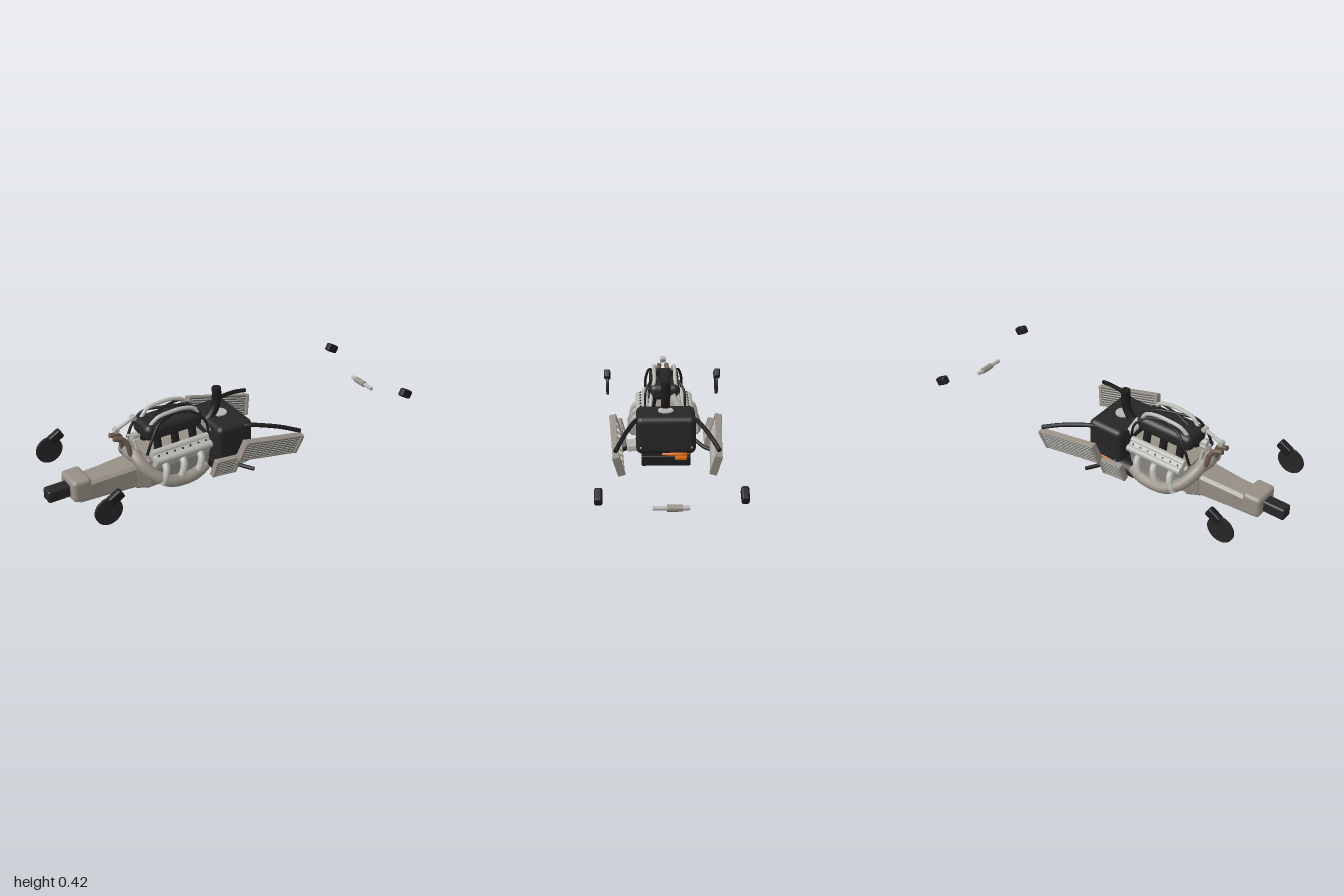
import * as THREE from 'three';
import { RoundedBoxGeometry } from 'three/addons/geometries/RoundedBoxGeometry.js';

const paint = (name, color) => Object.assign(new THREE.MeshStandardMaterial({ color }), { name });

export function createModel() {
  const root = new THREE.Group();
  root.name = 'racingPowertrain';
  const black = paint('black', 0x262626);
  const rubber = paint('rubber', 0x1c1c1c);
  const casting = paint('casting', 0x968f86);
  const alloy = paint('alloy', 0xb4b5b0);
  const core = paint('radiatorCore', 0x5a5853);
  const orange = paint('orange', 0xd8690f);
  const burnt = paint('burntMetal', 0x6b5a4b);

  // Helpers: each adds one named mesh
  const add = (name, geo, mat, parent = root) => {
    const m = new THREE.Mesh(geo, mat);
    m.name = name;
    parent.add(m);
    return m;
  };
  const box = (name, mat, size, pos, r = 0.01, parent = root) => {
    const g = r ? new RoundedBoxGeometry(...size, 3, r) : new THREE.BoxGeometry(...size);
    const m = add(name, g, mat, parent);
    m.position.set(...pos);
    return m;
  };
  const rod = (name, mat, a, b, r, r2 = r, sides = 24) => {
    const p = new THREE.Vector3(...a), q = new THREE.Vector3(...b);
    const d = q.clone().sub(p);
    const m = add(name, new THREE.CylinderGeometry(r2, r, d.length(), sides), mat);
    m.position.copy(p).add(q).multiplyScalar(0.5);
    m.quaternion.setFromUnitVectors(new THREE.Vector3(0, 1, 0), d.normalize());
    return m;
  };
  const pipe = (name, mat, pts, r) => {
    const curve = new THREE.CatmullRomCurve3(pts.map(p => new THREE.Vector3(...p)));
    add(name, new THREE.TubeGeometry(curve, 32, r, 12), mat);
    // Flat caps close both ends
    for (const t of [0, 1]) {
      const c = add(name + 'End', new THREE.CircleGeometry(r, 12), mat);
      const dir = curve.getTangent(t).multiplyScalar(t ? 1 : -1);
      c.position.copy(curve.getPoint(t));
      c.quaternion.setFromUnitVectors(new THREE.Vector3(0, 0, 1), dir);
    }
  };
  // Solid lofted along x; sections are [x, bottom, top, bottom half-width, top half-width]
  const loft = (name, mat, sections) => {
    const pos = [], idx = [];
    for (const [x, y0, y1, w0, w1] of sections) {
      const c = Math.min(0.015, (y1 - y0) * 0.2);
      for (const [y, z] of [[y0, w0 - c], [y0 + c, w0], [y1 - c, w1], [y1, w1 - c],
        [y1, c - w1], [y1 - c, -w1], [y0 + c, -w0], [y0, c - w0]]) pos.push(x, y, z);
    }
    const n = sections.length;
    for (let i = 0; i < n - 1; i++) for (let j = 0; j < 8; j++) {
      const a = i * 8 + j, b = i * 8 + (j + 1) % 8;
      idx.push(a, a + 8, b, b, a + 8, b + 8);
    }
    for (let j = 1; j < 7; j++) {
      idx.push(0, j, j + 1);
      idx.push((n - 1) * 8, (n - 1) * 8 + j + 1, (n - 1) * 8 + j);
    }
    const g = new THREE.BufferGeometry();
    g.setAttribute('position', new THREE.Float32BufferAttribute(pos, 3));
    g.setIndex(idx);
    const flat = g.toNonIndexed();
    flat.computeVertexNormals();
    add(name, flat, mat);
  };

  // Gearbox, rear casing and output
  loft('gearbox', casting, [[-0.845, 0.045, 0.155, 0.055, 0.063], [-0.7, 0.04, 0.158, 0.06, 0.065],
    [-0.54, 0.035, 0.165, 0.07, 0.075]]);
  loft('bellHousing', casting, [[-0.545, 0.03, 0.17, 0.07, 0.08], [-0.48, 0.02, 0.2, 0.09, 0.11]]);
  box('rearCasing', casting, [0.1, 0.115, 0.15], [-0.838, 0.128, 0], 0.02);
  box('rearCrashMount', black, [0.125, 0.065, 0.065], [-0.938, 0.122, 0], 0.012);

  // Engine block and oil pan
  loft('engineBlock', casting, [[-0.49, 0.015, 0.21, 0.08, 0.11], [-0.14, 0.015, 0.21, 0.08, 0.11]]);
  box('oilPan', alloy, [0.34, 0.03, 0.11], [-0.31, 0.017, 0], 0.008);

  // Intake plenum, trumpets and lines
  box('intakePlenum', black, [0.33, 0.085, 0.16], [-0.32, 0.318, 0], 0.032);
  for (const s of [1, -1]) {
    for (const x of [-0.42, -0.32, -0.22]) {
      rod('intakeTrumpet', rubber, [x, 0.2, 0.075 * s], [x, 0.3, 0.055 * s], 0.02);
      pipe('exhaustPrimary', alloy, [[x, 0.18, 0.115 * s], [x - 0.005, 0.16, 0.155 * s],
        [x - 0.02, 0.12, 0.17 * s], [x - 0.04, 0.085, 0.17 * s]], 0.018);
    }
    // Cylinder head with twin cam covers and bolts
    const head = box('cylinderHead', alloy, [0.32, 0.075, 0.07], [-0.315, 0.19, 0.108 * s], 0.01);
    head.rotation.x = 0.6 * s;
    rod('camCover', alloy, [-0.475, 0.2, 0.137 * s], [-0.155, 0.2, 0.137 * s], 0.018);
    rod('camCover', alloy, [-0.475, 0.228, 0.1 * s], [-0.155, 0.228, 0.1 * s], 0.018);
    for (let i = 0; i < 7; i++) {
      const x = -0.45 + i * 0.045;
      rod('coverBolt', black, [x, 0.21, 0.118 * s], [x, 0.226, 0.13 * s], 0.005, 0.005, 8);
    }
    pipe('fuelRail', alloy, [[-0.45, 0.35, 0.045 * s], [-0.41, 0.388, 0.052 * s], [-0.34, 0.4, 0.055 * s],
      [-0.26, 0.398, 0.055 * s], [-0.2, 0.375, 0.055 * s], [-0.17, 0.3, 0.07 * s], [-0.13, 0.24, 0.08 * s]], 0.01);
    pipe('wiringLoom', rubber, [[-0.5, 0.23, 0.1 * s], [-0.47, 0.3, 0.098 * s], [-0.42, 0.365, 0.08 * s],
      [-0.34, 0.377, 0.05 * s], [-0.24, 0.375, 0.02 * s], [-0.17, 0.35, 0.01 * s]], 0.007);
    pipe('coolantLine', rubber, [[-0.15, 0.25, 0.105 * s], [-0.17, 0.33, 0.1 * s], [-0.22, 0.37, 0.07 * s],
      [-0.34, 0.375, 0.035 * s], [-0.47, 0.33, 0.01 * s]], 0.006);

    // Exhaust collector sweeping round to the rear
    pipe('exhaustCollector', casting, [[-0.2, 0.1, 0.15 * s], [-0.26, 0.08, 0.165 * s], [-0.34, 0.075, 0.17 * s],
      [-0.42, 0.09, 0.165 * s], [-0.49, 0.135, 0.13 * s], [-0.53, 0.19, 0.08 * s], [-0.535, 0.22, 0.03 * s]], 0.031);
    pipe('tailPipe', burnt, [[-0.53, 0.19, 0.04 * s], [-0.56, 0.23, 0.042 * s], [-0.57, 0.28, 0.035 * s],
      [-0.59, 0.31, 0.025 * s], [-0.635, 0.325, 0.02 * s]], 0.013);
    rod('wastegateRod', alloy, [-0.52, 0.2, 0.055 * s], [-0.53, 0.29, 0.03 * s], 0.007);

    // Side radiators: ribbed core between a frame and end tanks
    const radiator = (name, w, h, t, pos, tiltZ, ribs) => {
      const g = new THREE.Group();
      g.name = name;
      g.position.set(pos[0], pos[1], pos[2] * s);
      g.rotation.set(0.25 * s, 0, tiltZ);
      root.add(g);
      box('core', core, [w - 0.02, h - 0.01, t * 0.7], [0, 0, 0], 0, g);
      for (let i = 0; i < ribs; i++) {
        const y = -h / 2 + h * (i + 0.5) / ribs;
        box('fin', alloy, [w - 0.02, h / ribs * 0.4, t * 0.85], [0, y, 0], 0, g);
      }
      for (const e of [1, -1]) {
        box('endTank', casting, [0.018, h, t * 1.15], [e * (w / 2 - 0.009), 0, 0], 0.004, g);
        box('frameRail', casting, [w, 0.01, t], [0, e * (h / 2 - 0.005), 0], 0.003, g);
      }
    };
    radiator('mainRadiator', 0.385, 0.115, 0.034, [0.129, 0.146, 0.25], -0.24, 9);
    radiator('smallRadiator', 0.145, 0.1, 0.028, [-0.13, 0.11, 0.23], -0.14, 8);

    // Coolant hoses
    pipe('upperHose', rubber, [[0, 0.235, 0.12 * s], [0.06, 0.247, 0.155 * s], [0.13, 0.237, 0.185 * s],
      [0.22, 0.215, 0.22 * s], [0.31, 0.182, 0.255 * s]], 0.011);
    pipe('lowerHose', rubber, [[-0.11, 0.1, 0.12 * s], [-0.07, 0.08, 0.165 * s], [-0.03, 0.065, 0.2 * s],
      [0.02, 0.057, 0.265 * s]], 0.01);

    // Rear brake disc, with front and rear calipers
    rod('brakeDisc', black, [-0.83, 0.155, 0.311 * s], [-0.83, 0.155, 0.325 * s], 0.07, 0.07, 40);
    const rear = box('rearCaliper', rubber, [0.075, 0.05, 0.036], [-0.79, 0.218, 0.318 * s], 0.01);
    rear.rotation.z = 0.52;
    const front = box('frontCaliper', rubber, [0.072, 0.044, 0.036], [0.957, 0.234, 0.318 * s], 0.01);
    front.rotation.z = -0.52;

    // Tank fasteners
    rod('tankFastener', alloy, [0.085, 0.11, 0.13 * s], [0.094, 0.11, 0.13 * s], 0.005, 0.005, 10);
  }
  pipe('exhaustLink', casting, [[-0.53, 0.2, 0.05], [-0.545, 0.21, 0], [-0.53, 0.2, -0.05]], 0.032);
  rod('damper', alloy, [-0.612, 0.358, 0], [-0.515, 0.398, 0], 0.009);
  for (const [x, y] of [[-0.612, 0.358], [-0.515, 0.398]])
    rod('damperEye', alloy, [x, y, -0.015], [x, y, 0.015], 0.013);

  // Fuel tank, battery and electrical parts
  box('fuelTank', black, [0.205, 0.2, 0.306], [-0.013, 0.17, 0], 0.03);
  box('battery', rubber, [0.21, 0.055, 0.252], [-0.015, 0.037, 0.001], 0.007);
  rod('batterySpacer', alloy, [-0.03, 0.06, 0], [-0.03, 0.08, 0], 0.06);
  box('controlUnit', alloy, [0.1, 0.034, 0.07], [-0.033, 0.078, 0.165], 0.007);
  rod('motorGenerator', black, [-0.2, 0.055, -0.125], [-0.06, 0.055, -0.125], 0.036);
  box('powerConnector', orange, [0.035, 0.018, 0.06], [0.092, 0.057, -0.075], 0.004);
  pipe('powerCable', orange, [[0.07, 0.068, 0.02], [0.082, 0.07, -0.04], [0.075, 0.07, -0.1],
    [0.03, 0.072, -0.135], [-0.04, 0.07, -0.135], [-0.09, 0.065, -0.12]], 0.009);

  // Air snorkel, filler and link pipe
  pipe('airSnorkel', rubber, [[-0.035, 0.422, 0], [-0.035, 0.37, 0], [-0.042, 0.32, 0],
    [-0.07, 0.27, 0], [-0.1, 0.24, 0]], 0.024);
  rod('fillerCollar', alloy, [-0.02, 0.265, 0], [-0.02, 0.276, 0], 0.04);
  rod('linkPipe', alloy, [-0.15, 0.31, -0.035], [-0.125, 0.25, -0.075], 0.02);

  // Steering rack
  rod('steeringRack', alloy, [0.926, 0.161, -0.082], [0.926, 0.161, 0.083], 0.01);
  rod('rackHousing', casting, [0.926, 0.161, -0.05], [0.926, 0.161, 0.021], 0.016);
  return root;
}
